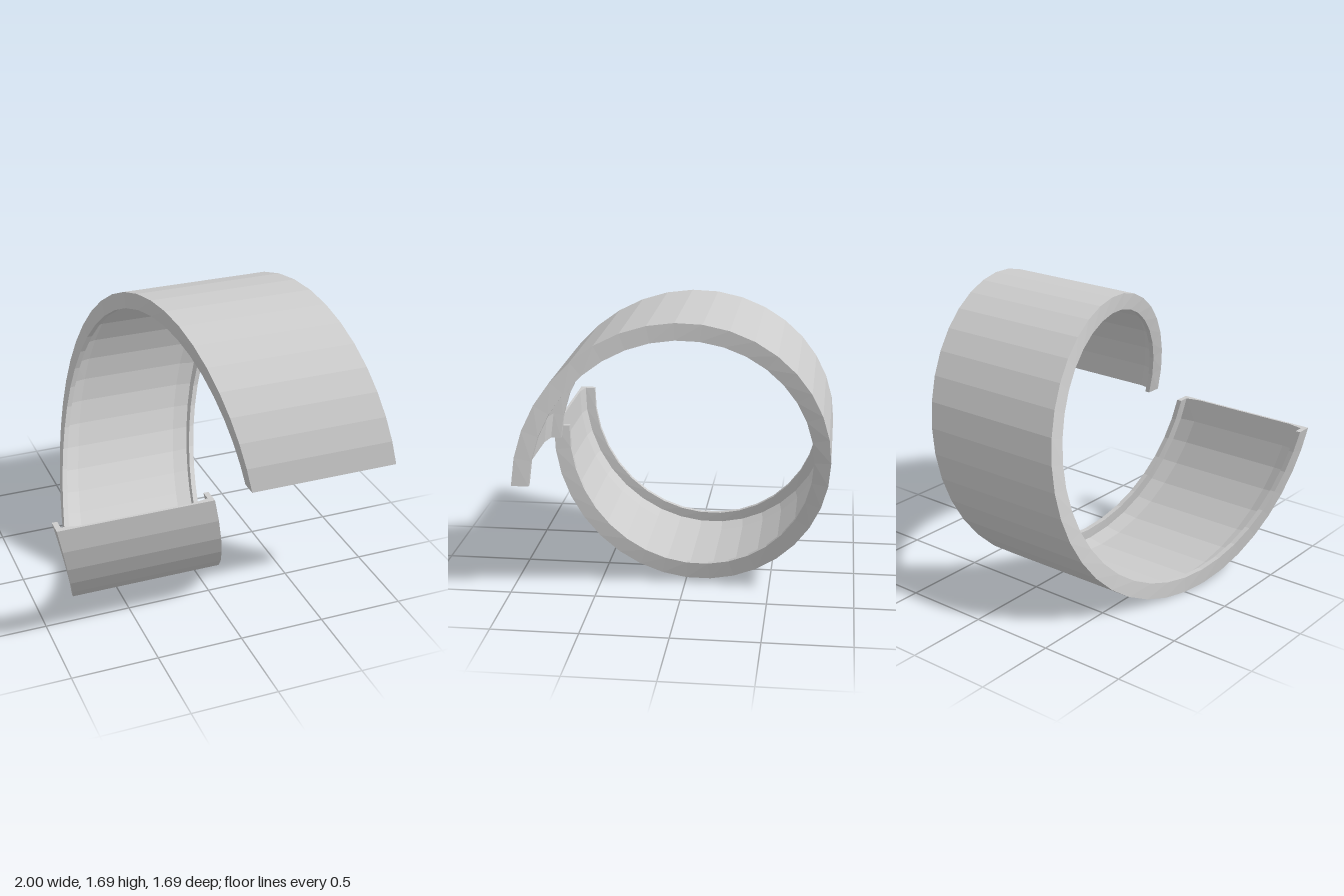
import * as THREE from 'three';

const R = 0.845;        // outer radius
const LIP = 0.75;       // inner radius at the lips
const WIDTH = 0.89;     // band width along x
const PITCH = 1.11;     // x travel over the full turn
const SEGMENTS = 36;

// Channel cross-section: x is across the band, y is the radius
function channelProfile() {
  return new THREE.Shape([
    [0, R], [0, LIP], [0.03, LIP], [0.03, 0.81], [0.12, 0.83],
    [WIDTH - 0.12, 0.83], [WIDTH - 0.03, 0.81], [WIDTH - 0.03, LIP],
    [WIDTH, LIP], [WIDTH, R],
  ].map(([x, r]) => new THREE.Vector2(x, r)));
}

// Extrude the profile straight, then wrap its length once around the x axis
function helicalBand() {
  const geometry = new THREE.ExtrudeGeometry(channelProfile(), {
    depth: 1, steps: SEGMENTS, bevelEnabled: false,
  });
  const p = geometry.attributes.position;
  for (let i = 0; i < p.count; i++) {
    const r = p.getY(i), t = p.getZ(i), a = t * Math.PI * 2;
    p.setXYZ(i, p.getX(i) - 1 + PITCH * t, R - r * Math.sin(a), r * Math.cos(a));
  }
  geometry.computeVertexNormals();
  return geometry;
}

export function createModel() {
  const group = new THREE.Group();
  group.name = 'helicalChannel';
  const material = new THREE.MeshStandardMaterial({ color: 0xcccccc, flatShading: true });
  const band = new THREE.Mesh(helicalBand(), material);
  band.name = 'spiralBand';
  group.add(band);
  return group;
}
